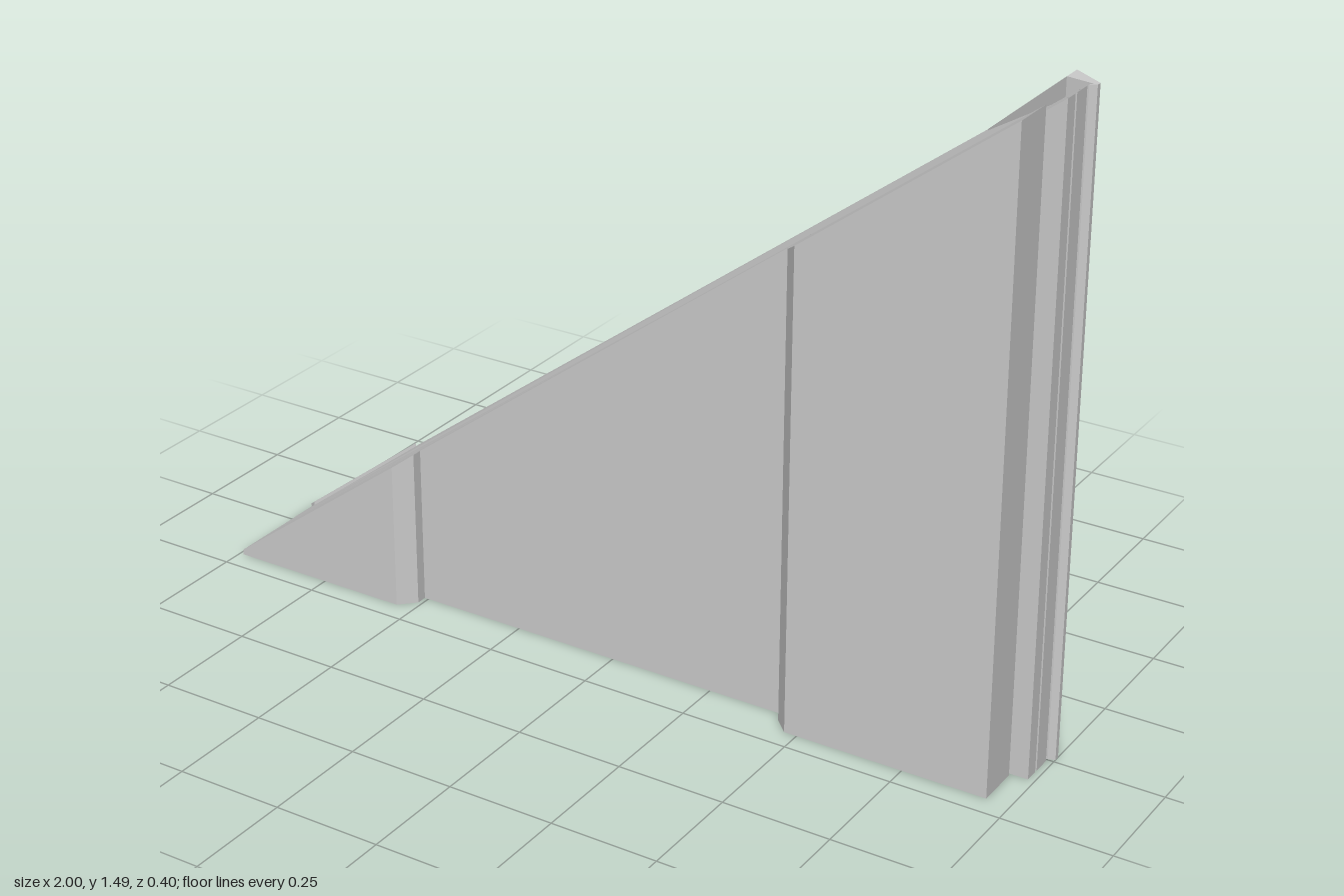
import * as THREE from 'three';

const TOP = 1.485;
// Height of the long sloping edge at a given x
const slope = (x) => Math.min(TOP, Math.max(0.004, 0.752 * (x + 1) + 0.005));

export function createModel() {
  const group = new THREE.Group();
  const material = new THREE.MeshStandardMaterial({ color: 0xcccccc, flatShading: true });

  // Upright prism: plan outline in [x, z], its top cut by a height rule
  function prism(name, plan, height = slope, base = 0) {
    const shape = new THREE.Shape(plan.map(([x, z]) => new THREE.Vector2(x, -z)));
    const geometry = new THREE.ExtrudeGeometry(shape, { depth: 1, bevelEnabled: false });
    geometry.rotateX(-Math.PI / 2);
    const p = geometry.attributes.position;
    for (let i = 0; i < p.count; i++) {
      p.setY(i, p.getY(i) > 0.5 ? Math.max(base + 0.001, height(p.getX(i))) : base);
    }
    geometry.computeVertexNormals();
    const mesh = new THREE.Mesh(geometry, material);
    mesh.name = name;
    group.add(mesh);
  }

  const strip = (x0, x1, z0, z1) => [[x0, z0], [x0, z1], [x1, z1], [x1, z0]];

  // Rear slab with chamfered ends
  prism('rearSlab', [
    [-1, -0.002], [-1, -0.07], [-0.78, -0.2], [0.7, -0.2],
    [0.93, -0.065], [1, -0.02], [1, -0.008], [0.985, -0.002],
  ]);

  // Raised rims along the two rear chamfers
  prism('upperRim', [[0.7, -0.2], [0.93, -0.065], [0.93, -0.045], [0.69, -0.185]],
    (x) => Math.min(TOP, 1.286 + (x - 0.7) * 0.9));
  prism('lowerRim', [[-0.78, -0.2], [-0.77, -0.188], [-0.985, -0.062], [-1, -0.07]],
    (x) => slope(x) + 0.008);
  prism('cornerCap', [[0.93, -0.065], [1, -0.02], [1, -0.008], [0.93, -0.02]], () => TOP);

  // Two layered bands
  prism('innerBand', strip(-0.99, 0.985, 0.006, 0.05));
  prism('outerBand', strip(-0.99, 0.985, 0.057, 0.09));

  // Recessed seams between the layers
  for (const [z0, z1] of [[-0.002, 0.006], [0.05, 0.057], [0.09, 0.097]]) {
    prism('seam', strip(-0.97, z0 > 0.08 ? 0.935 : 0.968, z0, z1), (x) => slope(x) - 0.012, 0.004);
  }

  // Front panel and the two thicker pads on it
  prism('frontPanel', strip(-0.52, 0.445, 0.09, 0.14));
  prism('lowerPad', [[-0.99, 0.097], [-0.99, 0.2], [-0.545, 0.2], [-0.51, 0.165], [-0.51, 0.097]]);
  prism('upperPad', [[0.435, 0.097], [0.435, 0.165], [0.47, 0.2], [0.945, 0.2], [0.945, 0.097]]);

  return group;
}
